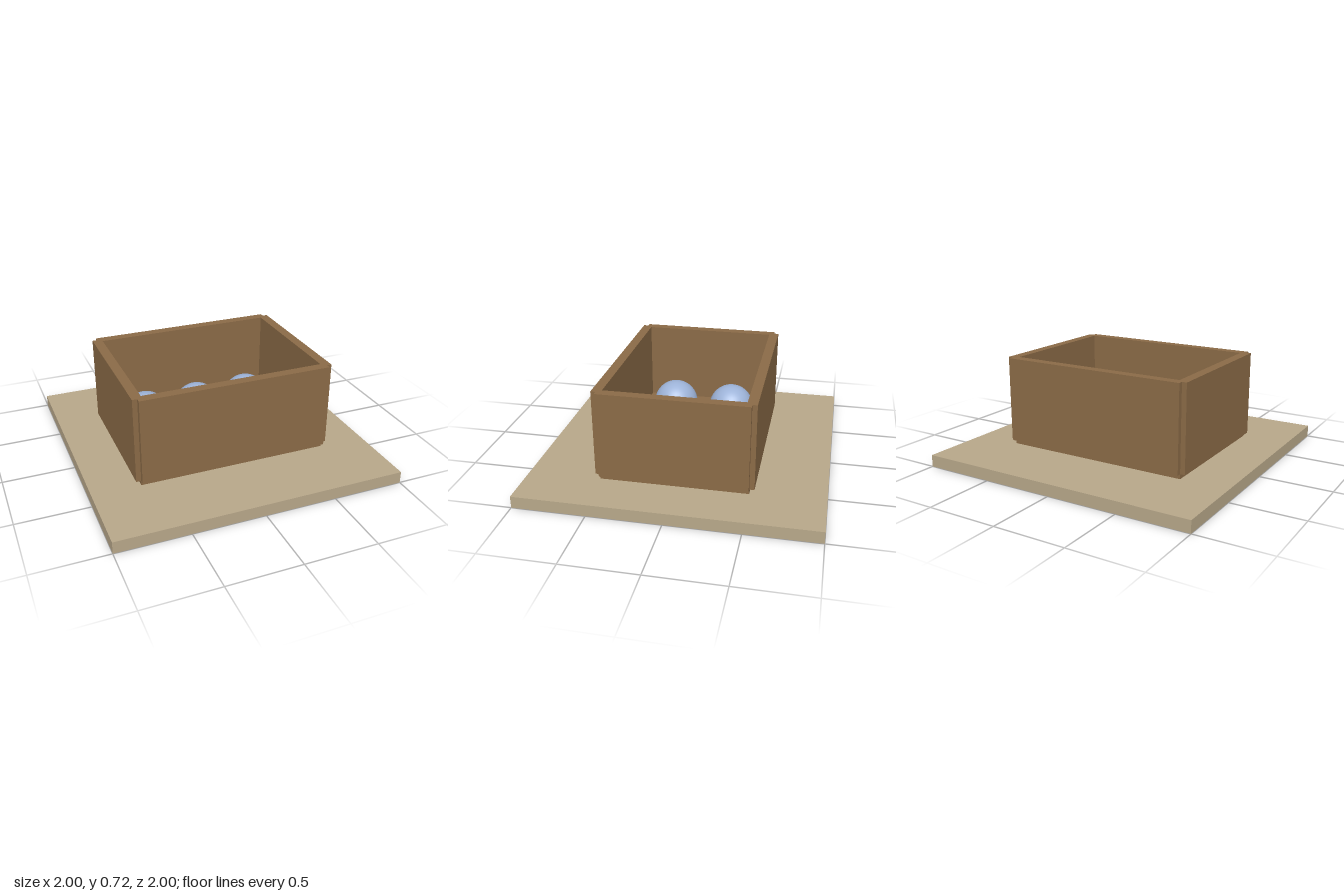
import * as THREE from 'three';

const WOOD = new THREE.MeshStandardMaterial({ name: 'brown wood', color: 0x8b6b47 });
const GROUND = new THREE.MeshStandardMaterial({ name: 'tan ground', color: 0xb8a88a });
const BALL = new THREE.MeshStandardMaterial({ name: 'pale blue', color: 0x9db3d8 });

export function createModel() {
  const model = new THREE.Group();
  model.name = 'boxOfBalls';

  const add = (name, geometry, material, x, y, z, parent = model) => {
    const mesh = new THREE.Mesh(geometry, material);
    mesh.name = name;
    mesh.position.set(x, y, z);
    parent.add(mesh);
  };

  // Ground slab
  const groundTop = 0.083;
  add('groundSlab', new THREE.BoxGeometry(2, groundTop, 2), GROUND, 0, groundTop / 2, 0);

  // Open crate: walls are centred on the edges of the floor panel
  const crate = new THREE.Group();
  crate.name = 'crate';
  model.add(crate);
  const width = 1.333, depth = 1, thick = 0.067, height = 0.6;
  const floorY = groundTop + thick / 2;
  const wallY = floorY + height / 2;
  add('floorPanel', new THREE.BoxGeometry(width, thick, depth), WOOD, 0, floorY, 0, crate);
  for (const s of [1, -1]) {
    add(s > 0 ? 'frontWall' : 'backWall', new THREE.BoxGeometry(width, height, thick), WOOD,
      0, wallY, s * depth / 2, crate);
    add(s > 0 ? 'leftWall' : 'rightWall', new THREE.BoxGeometry(thick, height, depth), WOOD,
      s * width / 2, wallY, 0, crate);
  }

  // Two rows of three balls, partly sunk into the floor
  const balls = new THREE.Group();
  balls.name = 'balls';
  model.add(balls);
  const ballGeometry = new THREE.SphereGeometry(0.1667, 32, 24);
  for (const z of [-0.217, 0.217])
    for (const x of [-0.4, 0, 0.4]) add('ball', ballGeometry, BALL, x, 0.2, z, balls);

  return model;
}
